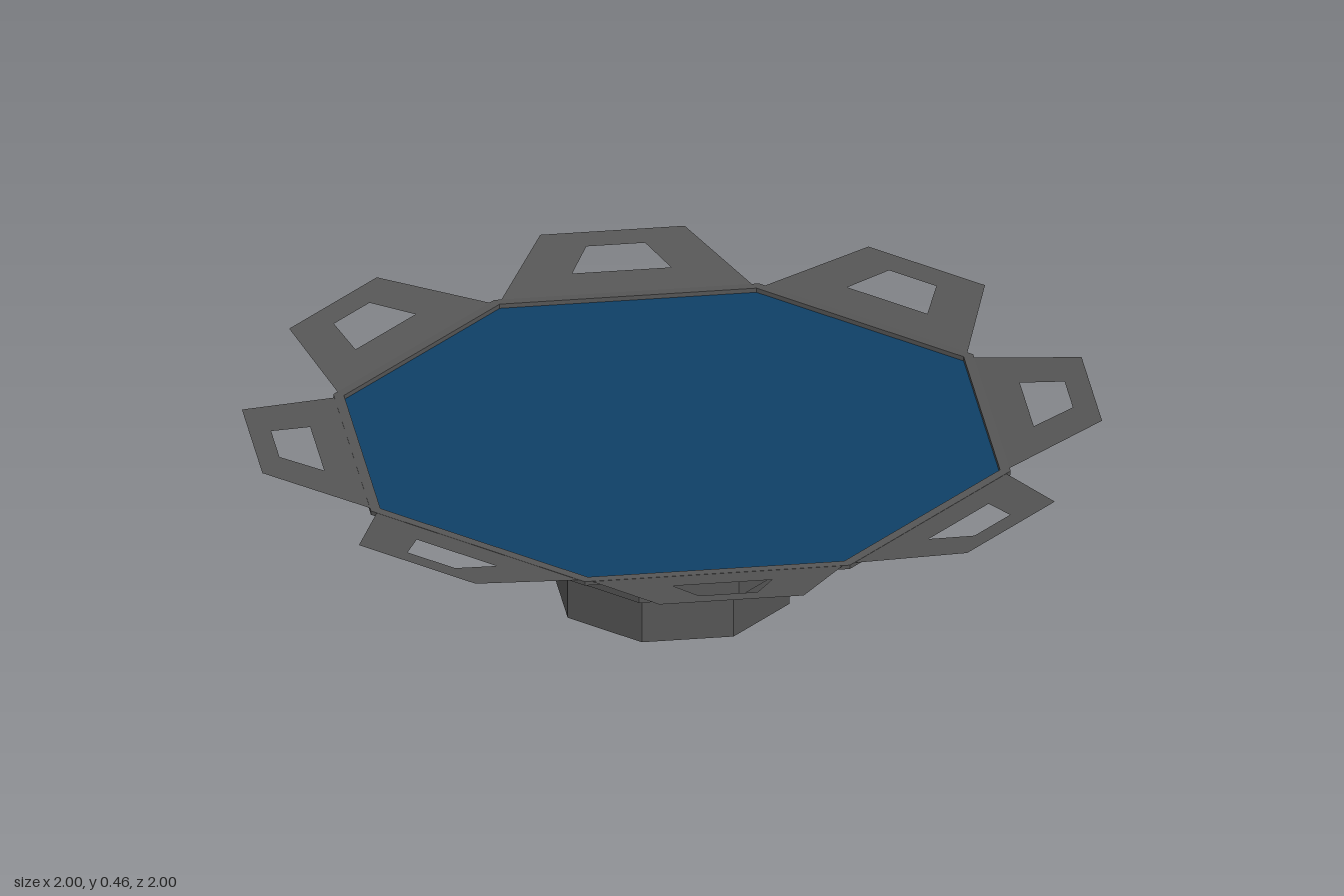
import * as THREE from 'three';

const SIDES = 8;
const HALF = Math.PI / SIDES;
const toCorner = 1 / Math.cos(HALF); // flat-side distance -> corner radius

export function createModel() {
  const model = new THREE.Group();
  const grey = new THREE.MeshStandardMaterial({ color: 0x555555, flatShading: true, side: THREE.DoubleSide });
  const blue = new THREE.MeshStandardMaterial({ color: 0x0f4066, flatShading: true, side: THREE.DoubleSide });

  const add = (name, geometry, material) => {
    const mesh = new THREE.Mesh(geometry, material);
    mesh.name = name;
    model.add(mesh);
    return mesh;
  };

  // Octagonal shell from [distance to flat side, height] pairs
  const shell = (name, profile) => add(name, new THREE.LatheGeometry(
    profile.map(([r, y]) => new THREE.Vector2(r * toCorner, y)), SIDES, HALF), grey);

  shell('baseCollar', [[0.264, 0], [0.264, 0.115]]);
  shell('collarRing', [[0.262, 0.115], [0.287, 0.115], [0.287, 0.17], [0.23, 0.17]]);
  shell('bowl', [[0.235, 0.17], [0.303, 0.24], [0.47, 0.303], [0.62, 0.357], [0.762, 0.405]]);
  shell('rim', [[0.762, 0.405], [0.762, 0.415], [0.738, 0.415], [0.738, 0.402]]);

  // Flat octagonal panels closing the top and bottom
  const panel = (name, r, y, tilt) => {
    const geometry = new THREE.CircleGeometry(r * toCorner, SIDES, HALF);
    geometry.rotateX(tilt);
    add(name, geometry, blue).position.y = y;
  };
  panel('topPanel', 0.739, 0.404, -Math.PI / 2);
  panel('bottomPanel', 0.264, 0, Math.PI / 2);

  // Tapered flap with a trapezoid window, drawn in plan and sloped upward
  const trapezoid = (near, nearHalf, far, farHalf) => [
    [-nearHalf, near], [nearHalf, near], [farHalf, far], [-farHalf, far],
  ].map(([x, y]) => new THREE.Vector2(x, y));
  const outline = new THREE.Shape(trapezoid(0.75, 0.305, 1, 0.172));
  outline.holes.push(new THREE.Path(trapezoid(0.845, 0.118, 0.945, 0.07).reverse()));
  const flapGeometry = new THREE.ShapeGeometry(outline);
  flapGeometry.rotateX(-Math.PI / 2);
  const pos = flapGeometry.attributes.position;
  for (let i = 0; i < pos.count; i++) pos.setY(i, 0.412 + (-pos.getZ(i) - 0.75) * 0.195);
  flapGeometry.computeVertexNormals();

  for (let i = 0; i < SIDES; i++) {
    add('flap' + (i + 1), flapGeometry, grey).rotation.y = i * 2 * HALF;
  }
  return model;
}
